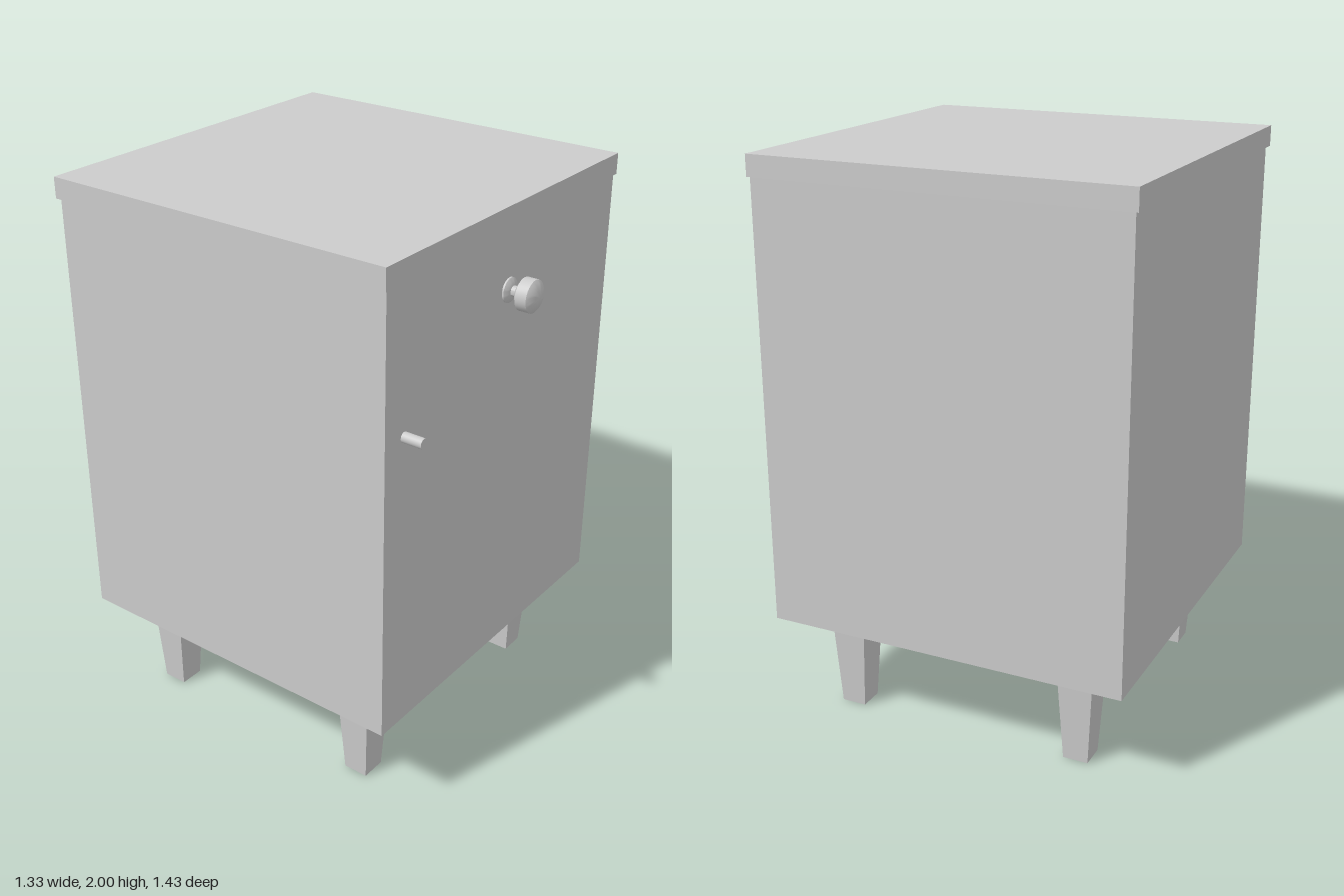
import * as THREE from 'three';
import { toCreasedNormals } from 'three/addons/utils/BufferGeometryUtils.js';

const material = new THREE.MeshStandardMaterial({ color: 0xcccccc });

function addPart(group, name, geometry, x, y, z) {
  const mesh = new THREE.Mesh(geometry, material);
  mesh.name = name;
  mesh.position.set(x, y, z);
  group.add(mesh);
  return mesh;
}

// Box given by its height range and depth range, centred on x
function addBox(group, name, width, y0, y1, z0, z1) {
  addPart(group, name, new THREE.BoxGeometry(width, y1 - y0, z1 - z0), 0, (y0 + y1) / 2, (z0 + z1) / 2);
}

// Square leg tapering towards the floor
function legGeometry(topHalf, bottomHalf, height) {
  const geometry = new THREE.BoxGeometry(2, height, 2);
  geometry.translate(0, height / 2, 0);
  const p = geometry.attributes.position;
  for (let i = 0; i < p.count; i++) {
    const half = p.getY(i) > height / 2 ? topHalf : bottomHalf;
    p.setXYZ(i, p.getX(i) * half, p.getY(i), p.getZ(i) * half);
  }
  geometry.computeVertexNormals();
  return geometry;
}

export function createModel() {
  const model = new THREE.Group();
  model.name = 'bedsideCabinet';

  // Cabinet body and overhanging top
  addBox(model, 'cabinetBody', 1.308, 0.362, 1.927, -0.703, 0.602);
  addBox(model, 'topPanel', 1.33, 1.927, 2, -0.715, 0.608);

  // Four legs
  const leg = legGeometry(0.066, 0.045, 0.362);
  for (const [row, z] of [['front', 0.386], ['back', -0.489]]) {
    for (const [side, x] of [['Left', 0.466], ['Right', -0.466]]) {
      addPart(model, `${row}${side}Leg`, leg, x, 0, z);
    }
  }

  // Turned knob: flange, neck and domed cap
  const profile = [
    [0, 0], [0.042, 0], [0.042, 0.006], [0.03, 0.014], [0.018, 0.017], [0.018, 0.04],
    [0.037, 0.042], [0.055, 0.054], [0.055, 0.094], [0.044, 0.102], [0.022, 0.11], [0, 0.113],
  ].map(([r, y]) => new THREE.Vector2(r, y));
  const knob = toCreasedNormals(new THREE.LatheGeometry(profile, 32), 0.5);
  addPart(model, 'drawerKnob', knob, 0.003, 1.717, 0.602).rotation.x = Math.PI / 2;

  // Small door peg
  const peg = new THREE.CylinderGeometry(0.0175, 0.0175, 0.075, 24);
  addPart(model, 'doorPeg', peg, -0.557, 1.43, 0.637).rotation.x = Math.PI / 2;

  return model;
}
